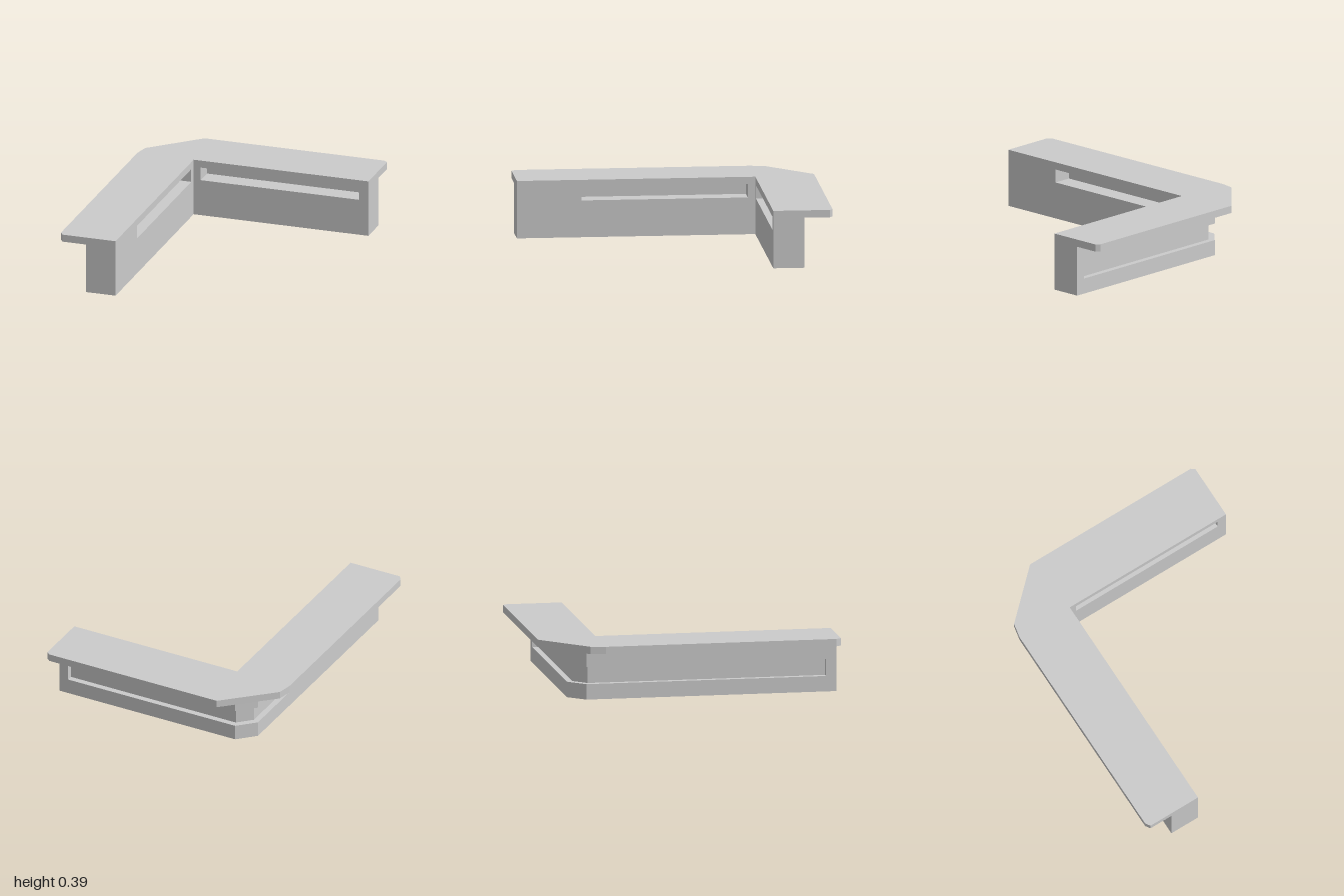
import * as THREE from 'three';

const material = new THREE.MeshStandardMaterial({ color: 0xcccccc, flatShading: true });

// Horizontal layer: plan outline of [x, z] points raised from y0 to y1
function layer(name, outline, y0, y1) {
  const shape = new THREE.Shape(outline.map(([x, z]) => new THREE.Vector2(x, -z)));
  const geometry = new THREE.ExtrudeGeometry(shape, { depth: y1 - y0, bevelEnabled: false });
  geometry.rotateX(-Math.PI / 2).translate(0, y0, 0);
  const mesh = new THREE.Mesh(geometry, material);
  mesh.name = name;
  return mesh;
}

export function createModel() {
  const group = new THREE.Group();
  group.name = 'cornerCounter';

  const endX = 0.815, endZ = 1;           // free ends of the two arms
  const inX = -0.42, inZ = -0.6;          // inner faces
  const outX = -0.63, outZ = -0.81;       // outer faces of the base
  const cut = 0.112;                      // corner chamfer of the base

  // Inner edge, plain or with the two shelf niches
  const inner = [[endX, inZ], [inX, inZ], [inX, endZ]];
  const d = 0.13;
  const innerNiches = [
    [endX, inZ], [0.75, inZ], [0.75, inZ - d], [-0.37, inZ - d], [-0.37, inZ],
    [inX, inZ],
    [inX, -0.55], [inX - d, -0.55], [inX - d, 0.565], [inX, 0.565], [inX, endZ],
  ];

  // Outer edge, plain or with the shallow panel wrapping the chamfer
  const outer = [[outX, endZ], [outX, outZ + cut], [outX + cut, outZ], [endX, outZ]];
  const r = 0.04, k = r * Math.tan(Math.PI / 8);
  const outerPanel = [
    [outX, endZ], [outX, 0.93], [outX + r, 0.93],
    [outX + r, outZ + cut + k], [outX + cut + k, outZ + r],
    [0.75, outZ + r], [0.75, outZ], [endX, outZ],
  ];

  // Base, built from the floor up
  group.add(
    layer('basePlinth', [...inner, ...outer], 0, 0.105),
    layer('basePanel', [...inner, ...outerPanel], 0.105, 0.22),
    layer('baseRail', [...inner, ...outer], 0.22, 0.25),
    layer('baseShelfNiches', [...innerNiches, ...outer], 0.25, 0.34),
  );

  // Overhanging top with clipped corners
  group.add(layer('countertop', [
    ...inner,
    [-0.795, 1], [-0.817, 0.967], [-0.817, -0.6], [-0.797, -0.7],
    [-0.48, -1], [0.79, -1], [endX, -0.98],
  ], 0.34, 0.39));

  return group;
}
